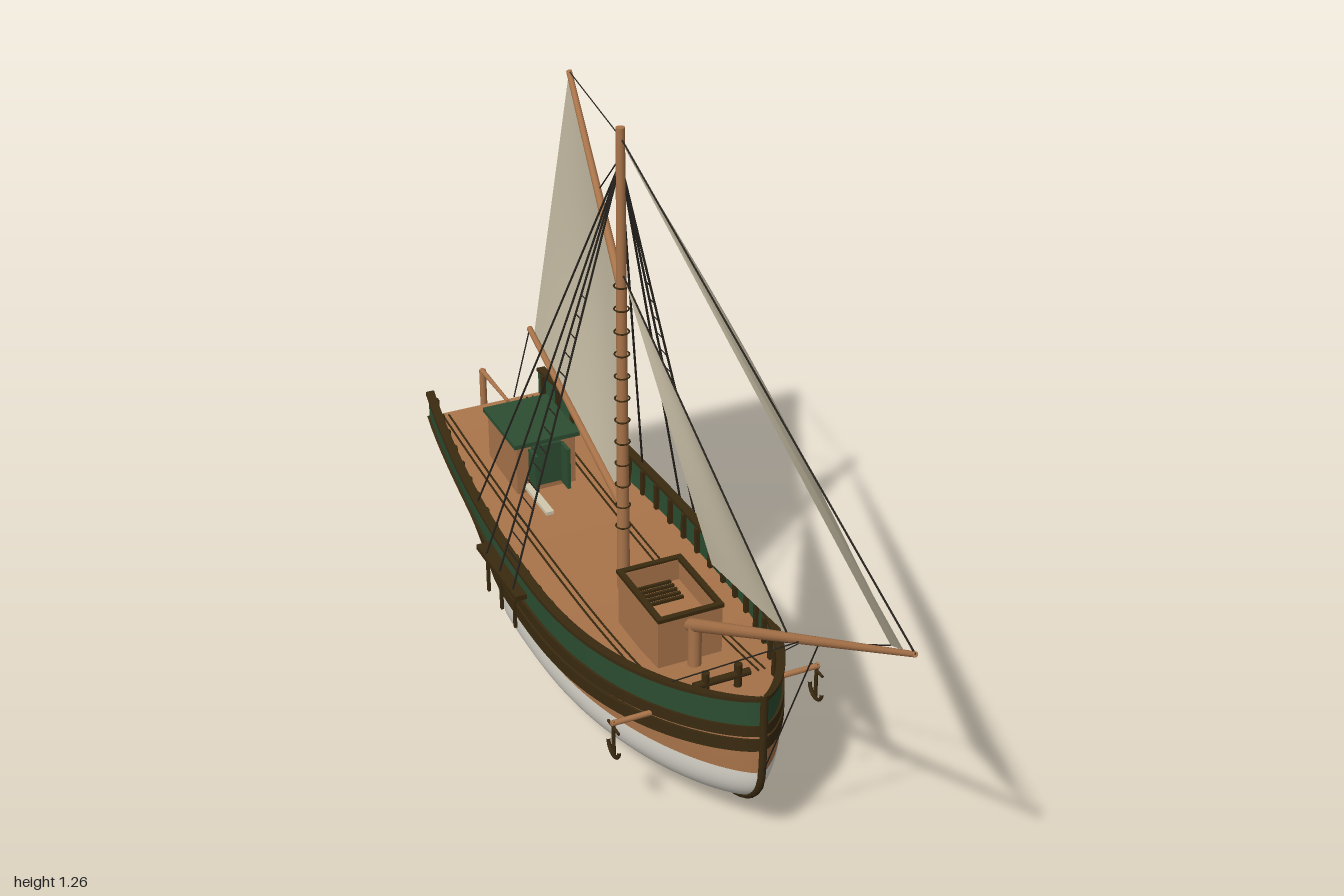
import * as THREE from 'three';

const mat = (name, color, side = THREE.FrontSide) => {
  const m = new THREE.MeshStandardMaterial({ color, side });
  m.name = name;
  return m;
};
const V = (x, y, z) => new THREE.Vector3(x, y, z);
const clamp = (t) => Math.min(1, Math.max(0, t));
const smooth = (t) => { t = clamp(t); return t * t * (3 - 2 * t); };

// Hull lines: u runs from stern (0) to stem (1)
const midZ = (u) => -0.92 + 1.415 * u + 0.15;
const rail = (u) => { const d = midZ(u); return 0.29 + (d > 0 ? 0.17 : 0.065) * d * d; };
const water = (u) => { const d = midZ(u); return 0.165 + (d > 0 ? 0.06 : 0.04) * d * d; };
const bottom = (u) => 0.018 + 0.012 * u;
const deckY = (u) => rail(u) - 0.06;
const stemZ = (y) => 0.495 - 0.25 * Math.pow(clamp((0.25 - y) / 0.22), 4);
const sternZ = (y) => -0.92 + 0.05 * clamp((0.19 - y) / 0.16);
const hullZ = (u, y) => sternZ(y) + u * (stemZ(y) - sternZ(y));
function hullX(u, y) {
  const w = u < 0.55 ? 0.21 - 0.068 * ((0.55 - u) / 0.55) ** 2
    : 0.21 * Math.pow(1 - Math.min(1, (u - 0.55) / 0.45) ** 2.3, 0.75);
  const s = clamp((y - bottom(u)) / (water(u) + 0.01 - bottom(u)));
  const full = Math.sqrt(1 - Math.pow(1 - s, 3.2));
  const fine = smooth((y - 0.08) / 0.19);
  const b = smooth((0.45 - u) / 0.45);
  return Math.max(w * (full * (1 - b) + fine * b), 0.006 * (1 - u));
}
const bowDense = (t) => 1 - Math.pow(1 - t, 1.6);
const uAtZ = (z) => clamp((z + 0.92) / 1.415);

// Grid surface; front side follows du x dv unless flipped
function grid(fn, nu, nv, flip = false) {
  const pos = [], idx = [];
  for (let i = 0; i <= nu; i++) for (let j = 0; j <= nv; j++) pos.push(...fn(i / nu, j / nv));
  for (let i = 0; i < nu; i++) for (let j = 0; j < nv; j++) {
    const a = i * (nv + 1) + j, b = a + nv + 1, c = a + 1, d = b + 1;
    if (flip) idx.push(a, c, b, b, c, d); else idx.push(a, b, c, b, d, c);
  }
  const g = new THREE.BufferGeometry();
  g.setAttribute('position', new THREE.Float32BufferAttribute(pos, 3));
  g.setIndex(idx);
  g.computeVertexNormals();
  return g;
}

export function createModel() {
  const root = new THREE.Group();
  const wood = mat('wood brown', 0xa9744a);
  const dark = mat('dark timber', 0x3a2a10);
  const green = mat('painted green', 0x2c4d31);
  const white = mat('bottom white', 0xdedad0);
  const canvas = mat('sail canvas', 0xd2c8ae, THREE.DoubleSide);
  const rope = mat('tarred rope', 0x292520);

  const add = (name, geo, m, x = 0, y = 0, z = 0) => {
    const mesh = new THREE.Mesh(geo, m);
    mesh.name = name;
    mesh.position.set(x, y, z);
    root.add(mesh);
    return mesh;
  };
  const box = (name, m, w, h, d, x, y, z) => add(name, new THREE.BoxGeometry(w, h, d), m, x, y, z);
  const rod = (name, m, a, b, r0, r1 = r0, sides = 10) => {
    const dir = b.clone().sub(a);
    const mesh = add(name, new THREE.CylinderGeometry(r1, r0, dir.length(), sides), m);
    mesh.position.copy(a).addScaledVector(dir, 0.5);
    mesh.quaternion.setFromUnitVectors(V(0, 1, 0), dir.normalize());
    return mesh;
  };
  const line = (name, a, b, r = 0.0016) => rod(name, rope, a, b, r, r, 4);

  // Strip of hull side between two heights, on both sides, n rows
  const strip = (name, m, lo, hi, n, off0 = 0, off1 = off0, inward = false) => {
    for (const s of [1, -1]) add(name, grid((t, v) => {
      const u = bowDense(t), y = lo(u) + (hi(u) - lo(u)) * v;
      return [s * Math.max(0, hullX(u, y) + off0 + (off1 - off0) * v), y, hullZ(u, y)];
    }, 44, n, (s > 0) !== inward), m);
  };
  const below = (d) => (u) => rail(u) - d;
  // Raised plank: lower edge, face and upper edge
  const plank = (name, m, d0, d1, out, inner = 0) => {
    strip(name, m, below(d0), below(d0), 1, inner, out);
    strip(name, m, below(d0), below(d1), 1, out);
    strip(name, m, below(d1), below(d1), 1, out, inner);
  };

  // Hull planking
  strip('hullBottom', white, bottom, water, 14);
  strip('hullTopsides', wood, water, below(0.06), 4);
  strip('bulwark', green, below(0.06), rail, 2);
  strip('bulwarkInside', green, below(0.065), rail, 2, -0.01, -0.01, true);
  plank('upperWale', dark, 0.082, 0.058, 0.006);
  plank('lowerWale', dark, 0.116, 0.088, 0.007);
  plank('capRail', dark, 0.002, -0.006, 0.006, -0.014);
  strip('capRailInside', dark, below(0.002), below(-0.006), 1, -0.014, -0.014, true);

  // Deck and transom
  add('deck', grid((t, v) => {
    const u = bowDense(t), y = deckY(u);
    return [(2 * v - 1) * Math.max(0, hullX(u, y) - 0.003), y, hullZ(u, y)];
  }, 44, 4), wood);
  const transom = (name, m, lo, hi) => add(name, grid((a, b) => {
    const y = lo + (hi - lo) * b;
    return [(2 * a - 1) * hullX(0, y), y, sternZ(y)];
  }, 2, 12, true), m);
  transom('transom', wood, water(0), deckY(0));
  transom('sternBottom', white, bottom(0), water(0));

  // Stem and keel in one sweep
  const stem = [0.375, 0.3, 0.25, 0.2, 0.15, 0.1, 0.07, 0.045].map((y) => V(0, y, stemZ(y)));
  stem.push(V(0, 0.02, 0.22), V(0, 0.014, -0.25), V(0, 0.008, -0.75));
  add('stemAndKeel', new THREE.TubeGeometry(new THREE.CatmullRomCurve3(stem), 60, 0.008, 8), dark);

  // Bulwark frames and deck seams
  for (const s of [1, -1]) {
    for (let i = 0; i < 20; i++) {
      const u = 0.02 + i * 0.045, y = deckY(u) + 0.03;
      box('bulwarkFrame', dark, 0.01, 0.06, 0.01, s * (hullX(u, y) - 0.014), y, hullZ(u, y));
    }
    for (const x of [0.098, 0.112]) {
      const pts = [];
      for (let z = -0.91; z < 0.3; z += 0.1) pts.push(V(s * x, deckY(uAtZ(z)), z));
      add('deckSeam', new THREE.TubeGeometry(new THREE.CatmullRomCurve3(pts), 24, 0.0025, 4), dark);
    }
  }

  // Rudder, sternpost and tiller
  const post = new THREE.Shape([[0.93, 0.25], [0.945, 0.25], [0.945, 0.03], [0.875, 0.02], [0.885, 0.1], [0.918, 0.19]]
    .map(([z, y]) => new THREE.Vector2(z, y)));
  const postGeo = new THREE.ExtrudeGeometry(post, { depth: 0.018, bevelEnabled: false });
  postGeo.translate(0, 0, -0.009).rotateY(Math.PI / 2);
  add('sternpost', postGeo, dark);
  box('rudderBlade', dark, 0.016, 0.115, 0.062, 0, 0.0875, -0.969);
  rod('rudderStock', wood, V(0, 0.1, -0.938), V(0, 0.35, -0.938), 0.008);
  rod('tiller', wood, V(0, 0.347, -0.943), V(0, 0.347, -0.78), 0.006, 0.004);

  // Deckhouse
  box('deckhouse', wood, 0.14, 0.13, 0.17, 0, 0.298, -0.64);
  box('deckhouseRoof', green, 0.155, 0.01, 0.19, 0, 0.366, -0.64);
  box('deckhouseDoor', green, 0.07, 0.1, 0.008, 0, 0.305, -0.553);
  for (const x of [-0.038, 0.038]) {
    box('deckhouseWindow', dark, 0.032, 0.035, 0.006, x, 0.32, -0.725);
    box('doorLeaf', green, 0.008, 0.1, 0.04, x, 0.3, -0.535);
  }
  box('gangBoard', canvas, 0.018, 0.008, 0.13, -0.048, 0.262, -0.485);

  // Open hatch with rim and grating
  for (const s of [1, -1]) {
    box('hatchSide', wood, 0.008, 0.12, 0.19, s * 0.066, 0.3, 0.085);
    box('hatchEnd', wood, 0.14, 0.12, 0.008, 0, 0.3, 0.085 + s * 0.091);
    box('hatchRim', dark, 0.012, 0.008, 0.2, s * 0.066, 0.361, 0.085);
    box('hatchRim', dark, 0.14, 0.008, 0.012, 0, 0.361, 0.085 + s * 0.094);
  }
  box('hatchFloor', wood, 0.13, 0.006, 0.18, 0, 0.31, 0.085);
  for (let i = 0; i < 5; i++) box('hatchGrating', dark, 0.08, 0.006, 0.006, 0, 0.318, 0.005 + i * 0.015);

  // Foredeck fittings
  for (const x of [-0.035, 0.035]) rod('bollard', dark, V(x, 0.25, 0.32), V(x, 0.32, 0.32), 0.008);
  rod('windlass', dark, V(-0.06, 0.295, 0.32), V(0.06, 0.295, 0.32), 0.008);
  rod('spritBitt', wood, V(0, 0.25, 0.2), V(0, 0.345, 0.2), 0.014);

  // Spars
  const top = V(0, 1.24, -0.14), tip = V(0, 0.79, 0.995), peak = V(0.06, 1.225, -0.525), boomEnd = V(0.112, 0.445, -0.915);
  rod('mast', wood, V(0, 0.23, -0.14), V(0, 1.26, -0.14), 0.014, 0.009, 14);
  rod('bowsprit', wood, V(0, 0.325, 0.165), tip, 0.014, 0.005, 12);
  rod('boom', wood, V(0, 0.43, -0.15), boomEnd, 0.01, 0.007);
  rod('gaff', wood, V(0, 0.93, -0.145), peak, 0.009, 0.006);
  for (let i = 0; i < 12; i++) {
    const hoop = add('mastHoop', new THREE.TorusGeometry(0.015, 0.002, 4, 14), dark, 0, 0.38 + i * 0.05, -0.14);
    hoop.rotation.x = Math.PI / 2;
  }

  // Sails: four corners with a belly toward +x
  const sail = (name, a, b, c, d, belly) => add(name, grid((u, v) => {
    const p = a.clone().lerp(b, u).lerp(d.clone().lerp(c, u), v);
    p.x += belly * Math.sin(Math.PI * u) * Math.sin(Math.PI * v);
    return p.toArray();
  }, 16, 16), canvas);
  const jibTack = V(0, 0.775, 0.96), jibHead = V(0, 1.23, -0.13), jibClew = V(0.188, 0.51, 0.62);
  const stayTack = V(0, 0.56, 0.575), stayHead = V(0, 0.955, -0.13), stayClew = V(0.07, 0.425, 0.13);
  const tack = V(0, 0.45, -0.16), throat = V(0, 0.93, -0.157), clew = V(0.11, 0.455, -0.88);
  sail('mainsail', tack, clew, peak, throat, 0.02);
  sail('jib', jibTack, jibClew, jibHead, jibHead, 0.02);
  sail('staysail', stayTack, stayClew, stayHead, stayHead, 0.015);

  // Stays, halyards and sheets
  line('forestay', tip, top, 0.002);
  line('innerStay', stayTack, stayHead, 0.002);
  line('peakHalyard', top, peak);
  line('gaffSpan', V(0, 1.2, -0.14), V(0.03, 1.06, -0.31));
  line('bobstay', V(0, 0.62, 0.69), V(0, 0.2, 0.5), 0.002);
  line('mainSheet', boomEnd, V(0.05, 0.3, -0.87));
  line('jibSheet', jibClew, V(0.13, 0.33, 0.3));
  line('staysailSheet', stayClew, V(0.17, 0.29, 0.02));

  for (const s of [1, -1]) {
    line('spritGuy', V(0, 0.6, 0.65), V(s * 0.12, 0.345, 0.35));
    // Channels, chainplates, shrouds and ratlines
    box('channel', dark, 0.035, 0.012, 0.22, s * 0.218, 0.25, -0.27);
    const head = V(0, 1.19, -0.14);
    const feet = [-0.19, -0.265, -0.34, -0.47].map((z, i) => V(s * (i < 3 ? 0.23 : 0.195), i < 3 ? 0.25 : 0.305, z));
    feet.forEach((f, i) => {
      line('shroud', f, head, 0.0025);
      if (i < 3) box('chainplate', dark, 0.006, 0.09, 0.008, s * 0.226, 0.205, f.z);
    });
    for (let i = 0; i < 15; i++) {
      const t = 0.07 + i * 0.045;
      line('ratline', feet[0].clone().lerp(head, t), feet[1].clone().lerp(head, t));
    }
    // Anchors hung from catheads
    rod('cathead', wood, V(s * 0.13, 0.245, 0.3), V(s * 0.225, 0.245, 0.3), 0.006);
    rod('anchorShank', dark, V(s * 0.22, 0.25, 0.3), V(s * 0.22, 0.17, 0.3), 0.004);
    rod('anchorStock', dark, V(s * 0.22, 0.235, 0.275), V(s * 0.22, 0.235, 0.325), 0.003);
    const arms = add('anchorArms', new THREE.TorusGeometry(0.025, 0.004, 6, 12, Math.PI), dark, s * 0.22, 0.192, 0.3);
    arms.rotation.set(0, Math.PI / 2, Math.PI);
  }
  return root;
}
